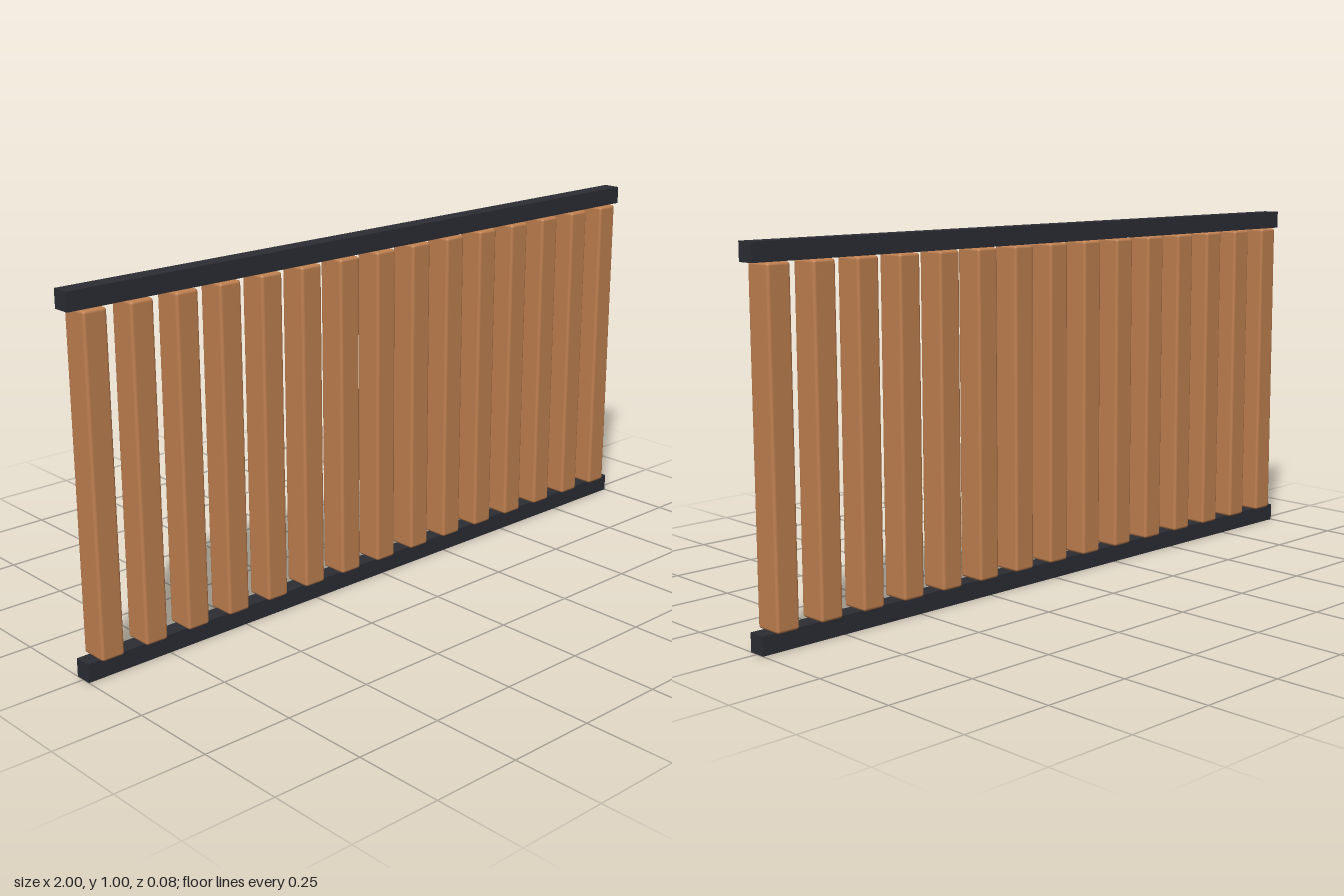
import * as THREE from 'three';
import { RoundedBoxGeometry } from 'three/addons/geometries/RoundedBoxGeometry.js';

export function createModel() {
  const group = new THREE.Group();
  group.name = 'slattedRailing';

  const wood = new THREE.MeshStandardMaterial({ color: 0xc08050 });
  wood.name = 'warm wood';
  const metal = new THREE.MeshStandardMaterial({ color: 0x2b2d34 });
  metal.name = 'dark metal';

  // Top and bottom rails
  const railSize = 0.05;
  const railGeometry = new THREE.BoxGeometry(2, railSize, railSize);
  for (const [name, y] of [['bottomRail', 0.025], ['topRail', 0.975]]) {
    const rail = new THREE.Mesh(railGeometry, metal);
    rail.name = name;
    rail.position.y = y;
    group.add(rail);
  }

  // Evenly spaced upright slats with softened edges
  const count = 15;
  const pitch = 2 / count;
  const slatGeometry = new RoundedBoxGeometry(0.067, 0.9, 0.082, 3, 0.008);
  for (let i = 0; i < count; i++) {
    const slat = new THREE.Mesh(slatGeometry, wood);
    slat.name = `slat${i + 1}`;
    slat.position.set((i - (count - 1) / 2) * pitch, 0.5, 0);
    group.add(slat);
  }
  return group;
}
